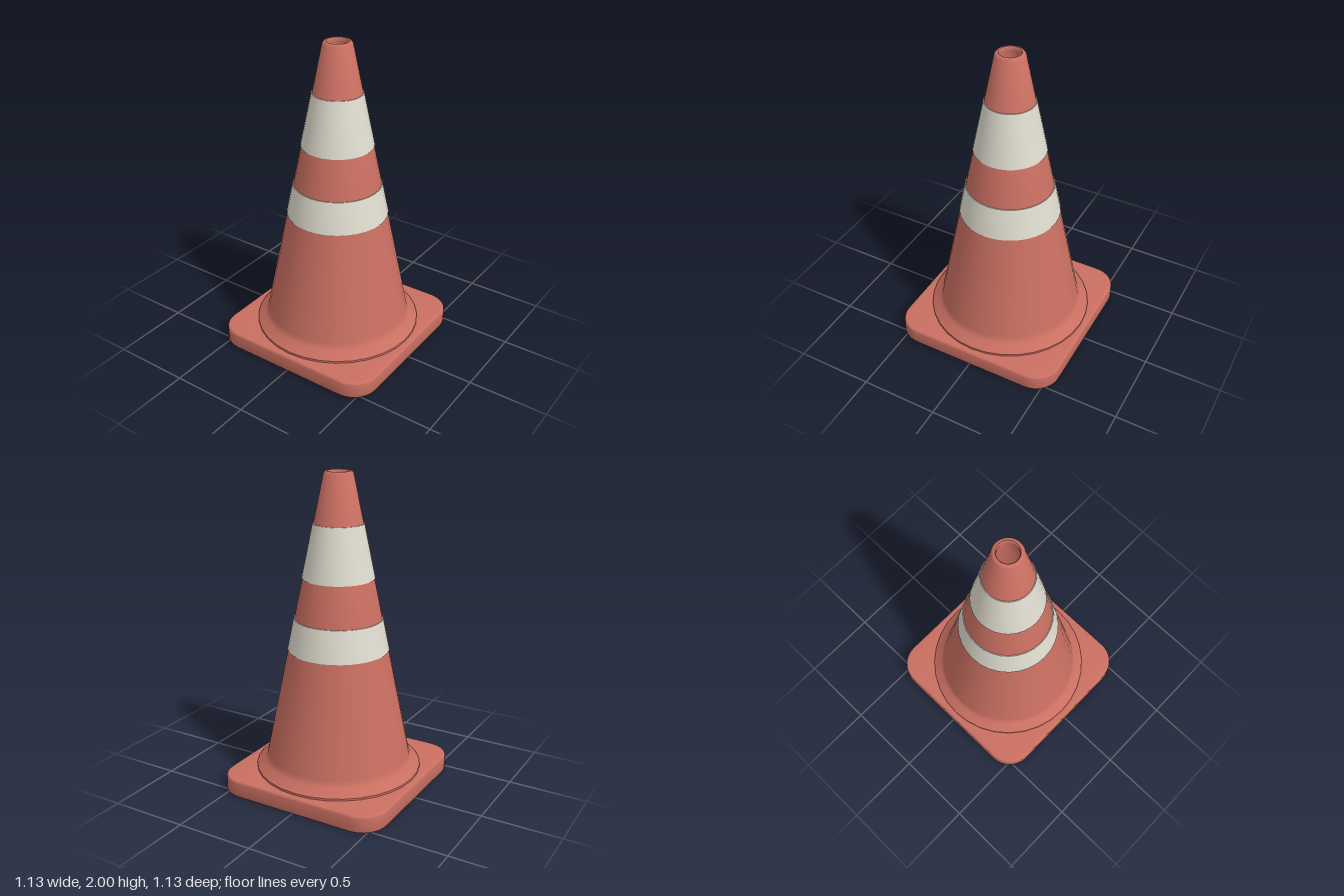
import * as THREE from 'three';
import { toCreasedNormals } from 'three/addons/utils/BufferGeometryUtils.js';

const SIDES = 32;

// Outer radius of the tapering cone wall at height y
const wallRadius = (y) => 0.46 - (y - 0.19) * 0.2055;

function lathe(name, points, material) {
  const profile = points.map(([r, y]) => new THREE.Vector2(r, y));
  const geometry = toCreasedNormals(new THREE.LatheGeometry(profile, SIDES), 0.7);
  const mesh = new THREE.Mesh(geometry, material);
  mesh.name = name;
  return mesh;
}

// Rounded square slab with softened edges
function makeBase(material) {
  const bevel = 0.015, height = 0.112, h = 0.565 - bevel, r = 0.15;
  const shape = new THREE.Shape();
  shape.moveTo(h, -h + r);
  shape.absarc(h - r, h - r, r, 0, Math.PI / 2);
  shape.absarc(-h + r, h - r, r, Math.PI / 2, Math.PI);
  shape.absarc(-h + r, -h + r, r, Math.PI, Math.PI * 1.5);
  shape.absarc(h - r, -h + r, r, Math.PI * 1.5, Math.PI * 2);
  const geometry = new THREE.ExtrudeGeometry(shape, {
    depth: height - 2 * bevel, curveSegments: 4,
    bevelEnabled: true, bevelSize: bevel, bevelThickness: bevel, bevelSegments: 3,
  });
  geometry.rotateX(-Math.PI / 2);
  geometry.translate(0, bevel, 0);
  const mesh = new THREE.Mesh(toCreasedNormals(geometry, 0.6), material);
  mesh.name = 'base';
  return mesh;
}

// Reflective sleeve standing slightly proud of the wall
function makeBand(name, bottom, top, material) {
  const t = 0.005;
  return lathe(name, [
    [wallRadius(bottom) - 0.004, bottom],
    [wallRadius(bottom) + t, bottom],
    [wallRadius(top) + t, top],
    [wallRadius(top) - 0.004, top],
  ], material);
}

export function createModel() {
  const orange = new THREE.MeshStandardMaterial({ color: 0xc96f61 });
  orange.name = 'faded orange';
  const white = new THREE.MeshStandardMaterial({ color: 0xe0dccf });
  white.name = 'reflective off-white';

  const group = new THREE.Group();
  group.name = 'trafficCone';
  group.add(makeBase(orange));

  // Hollow cone: flared foot, tapering wall, rounded rim, inner wall
  group.add(lathe('cone', [
    [0.528, 0.108], [0.528, 0.125], [0.52, 0.132], [0.475, 0.168], [0.462, 0.185],
    [wallRadius(0.21), 0.21], [wallRadius(1.1), 1.1], [wallRadius(1.985), 1.985],
    [0.083, 1.996], [0.078, 2], [0.068, 2], [0.063, 1.994],
    [0.062, 1.975], [0.42, 0.19], [0.42, 0.108],
  ], orange));

  group.add(makeBand('lowerBand', 0.9, 1.1, white));
  group.add(makeBand('upperBand', 1.355, 1.69, white));
  return group;
}
